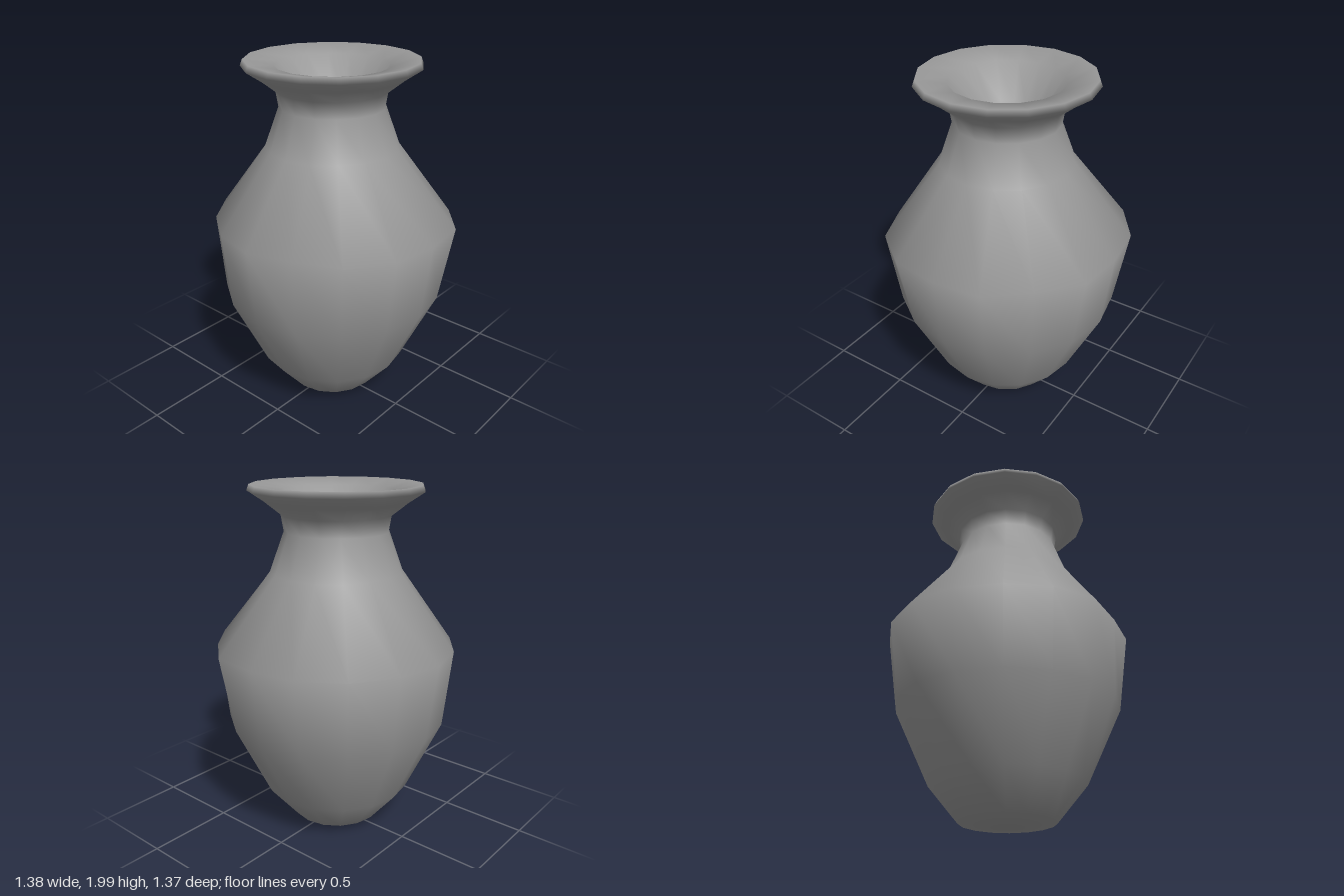
import * as THREE from 'three';
import { mergeVertices } from 'three/addons/utils/BufferGeometryUtils.js';

const SIDES = 16;

// Profile [radius, height]: up the outside, over the broad lip, down into the mouth
const PROFILE = [
  [0, 0], [0.265, 0.035], [0.432, 0.235], [0.632, 0.66], [0.69, 1.105],
  [0.373, 1.52], [0.291, 1.74], [0.306, 1.83], [0.395, 1.9], [0.485, 1.96],
  [0.472, 1.993], [0.31, 1.96], [0.18, 1.78], [0, 1.65],
];

// Hand-thrown unevenness: radius of the widest ring, from +z round towards +x
const BELLY = [0.68, 0.65, 0.697, 0.708, 0.69, 0.712, 0.68, 0.713,
  0.685, 0.704, 0.7, 0.695, 0.695, 0.678, 0.665, 0.672];

function vaseGeometry() {
  const points = PROFILE.map(([r, y]) => new THREE.Vector2(r, y));
  const lathe = new THREE.LatheGeometry(points, SIDES);
  const pos = lathe.attributes.position;
  for (let i = 0; i < pos.count; i++) {
    const side = Math.floor(i / PROFILE.length) % SIDES;
    const y = pos.getY(i);
    // strongest at the belly, fading towards the base and neck
    const weight = Math.max(0, 1 - Math.abs(y - 1.1) / 0.5);
    const k = 1 + (BELLY[side] / 0.69 - 1) * weight;
    pos.setX(i, pos.getX(i) * k);
    pos.setZ(i, pos.getZ(i) * k);
  }
  // weld the seam and poles so the shading is smooth all round
  lathe.deleteAttribute('normal');
  lathe.deleteAttribute('uv');
  const welded = mergeVertices(lathe, 1e-4);
  welded.computeVertexNormals();
  return welded;
}

export function createModel() {
  const group = new THREE.Group();
  group.name = 'vase';
  const material = new THREE.MeshStandardMaterial({ color: 0x989898 });
  const body = new THREE.Mesh(vaseGeometry(), material);
  body.name = 'vaseBody';
  group.add(body);
  return group;
}
